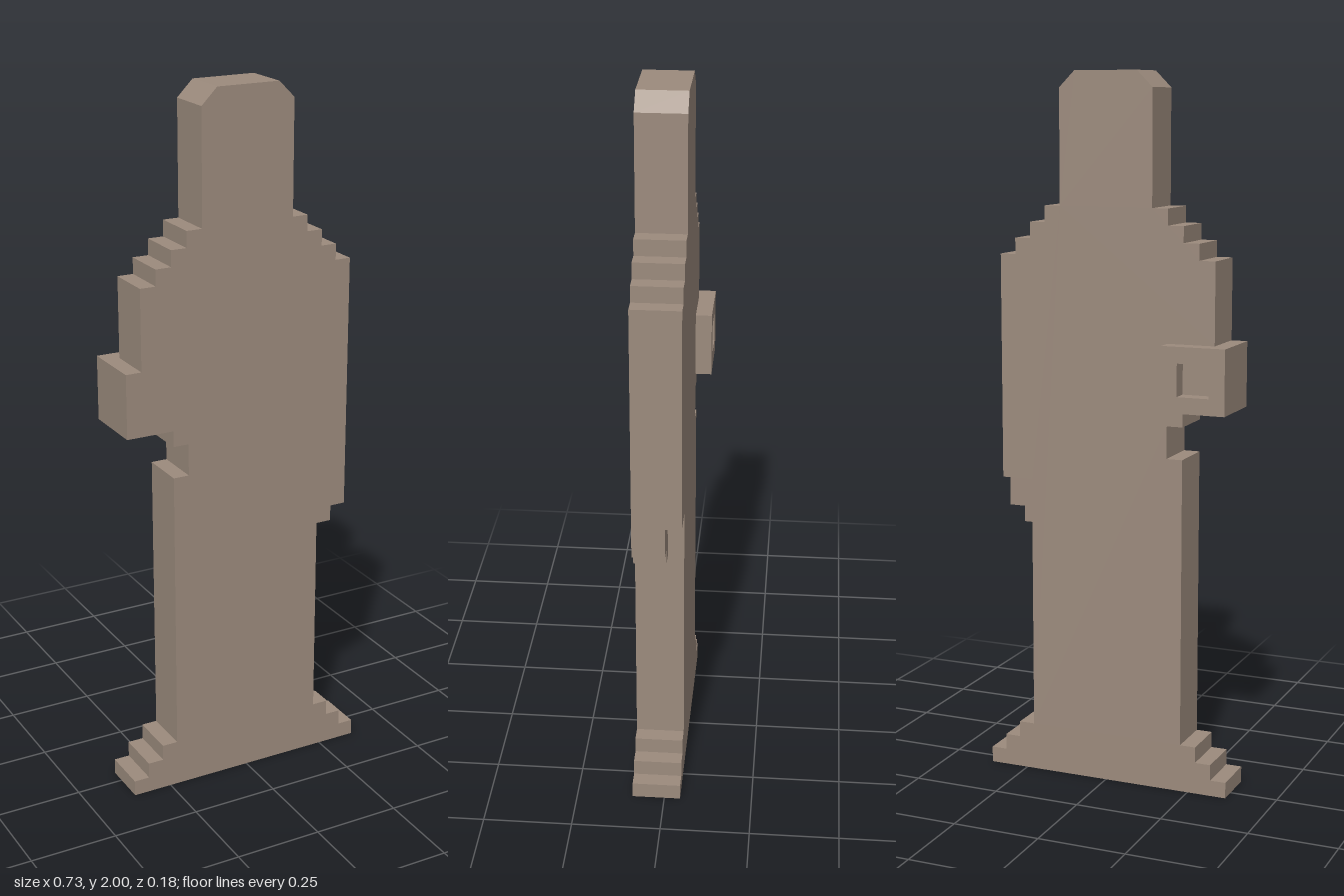
import * as THREE from 'three';

const U = 2 / 44; // one grid step

const stone = new THREE.MeshStandardMaterial({ color: 0x9c8b7d });
stone.name = 'taupe stone';

// Outline in grid steps, extruded from z0 to z1
function slab(name, points, z0, z1, hole) {
  const toVectors = (list) => list.map(([x, y]) => new THREE.Vector2(x * U, y * U));
  const shape = new THREE.Shape(toVectors(points));
  if (hole) shape.holes.push(new THREE.Path(toVectors(hole)));
  const geometry = new THREE.ExtrudeGeometry(shape, { depth: (z1 - z0) * U, bevelEnabled: false });
  geometry.translate(0, 0, z0 * U);
  const mesh = new THREE.Mesh(geometry, stone);
  mesh.name = name;
  return mesh;
}

const square = (x0, y0, x1, y1) => [[x0, y0], [x1, y0], [x1, y1], [x0, y1]];

export function createModel() {
  const model = new THREE.Group();
  model.name = 'figure';

  // Half outlines shared by both sides, bottom to top
  const foot = [[8, 0], [8, 1], [7, 1], [7, 2], [6, 2], [6, 3], [5, 3]];
  const head = [[7, 33], [6, 33], [6, 34], [5, 34], [5, 35], [4, 35], [4, 36], [3, 36], [3, 43], [2, 44]];
  const mirrored = (list) => list.map(([x, y]) => [-x, y]).reverse();

  // Body silhouette with stepped hem, shoulders and chamfered head
  model.add(slab('body', [
    ...foot,
    [5, 19], [7, 19], // left arm underside
    ...head,
    ...mirrored(head),
    [-7, 28], [-8, 28], [-8, 24], [-5, 24], [-5, 23], [-4, 23], [-4, 21], [-5, 21], // right hand and notch
    ...mirrored(foot),
  ], -1, 2));

  // Left hand hanging below the arm, shallower than the body
  model.add(slab('leftHand', [[5, 16], [6, 16], [6, 17], [7, 17], [7, 19], [5, 19]], 0, 2));

  // Square socket on the back of the right hand
  model.add(slab('rightHandSocket', square(-8, 24, -4, 28), -2, -1, square(-7, 25, -5, 27)));

  return model;
}
